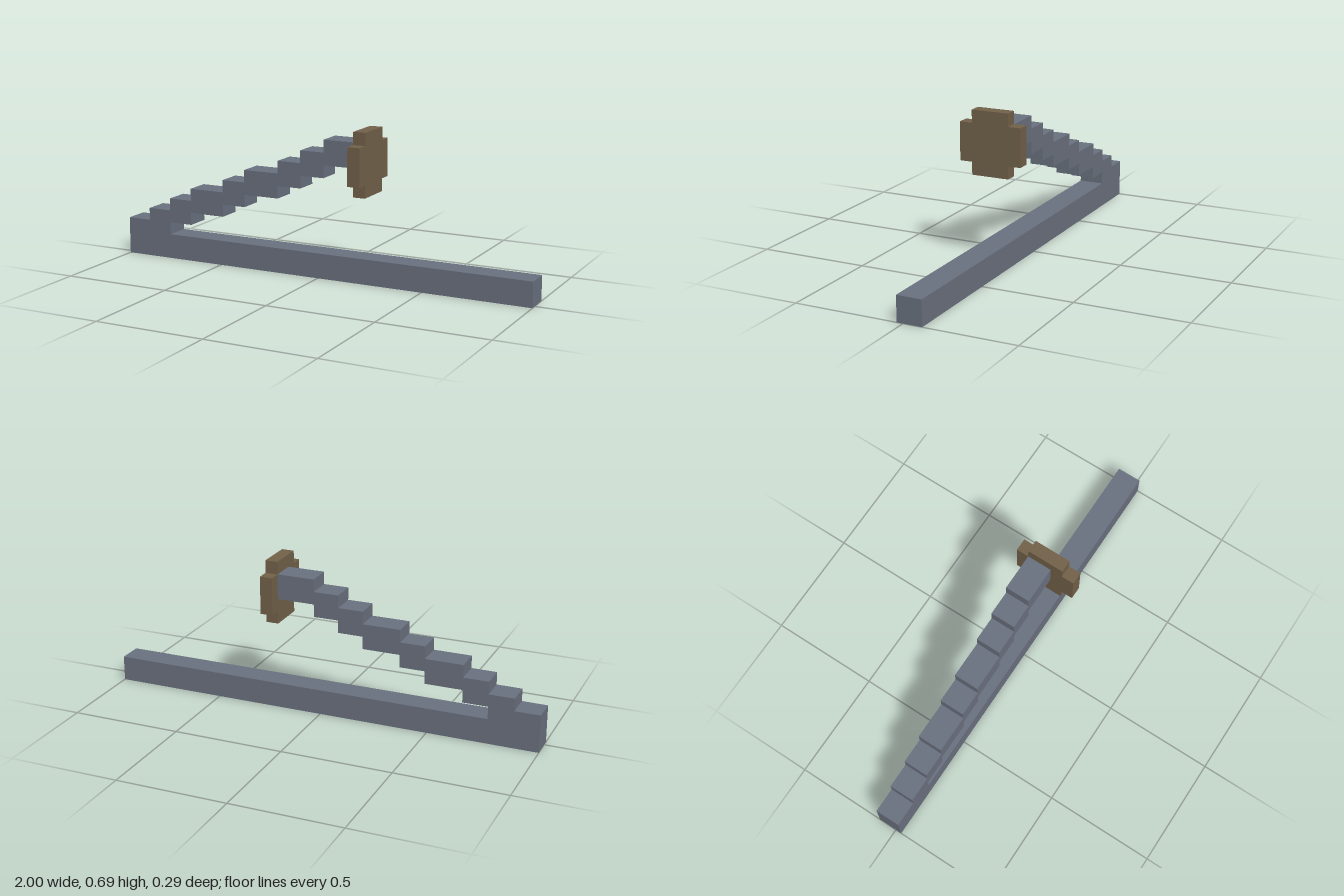
import * as THREE from 'three';

const U = 2 / 35; // grid unit: the base is 35 units long

// Extrude an outline given in grid units, starting at depth 0
function extrude(points, depth) {
  const shape = new THREE.Shape(points.map(([x, y]) => new THREE.Vector2(x * U, y * U)));
  return new THREE.ExtrudeGeometry(shape, { depth: depth * U, bevelEnabled: false });
}

export function createModel() {
  const model = new THREE.Group();
  const grey = new THREE.MeshStandardMaterial({ color: 0x6b7280 });
  grey.name = 'slate grey';
  const brown = new THREE.MeshStandardMaterial({ color: 0x73624a });
  brown.name = 'wood brown';

  // Long base bar with a stepped arm rising from its right end
  const edges = [0, 2, 4, 6, 9, 11, 14, 16, 18, 21]; // x where each step begins
  const upper = [];
  const lower = [];
  for (let i = 0; i < edges.length - 1; i++) {
    upper.push([edges[i], i + 3], [edges[i + 1], i + 3]);
    if (i >= 2) lower.push([edges[i], i + 1], [edges[i + 1], i + 1]);
  }
  const outline = [[0, 0], [35, 0], [35, 2], [4, 2], ...lower, ...upper.reverse()];
  const frame = new THREE.Mesh(extrude(outline, 2), grey);
  frame.name = 'baseAndSteppedArm';
  frame.position.set(-1, 0, -1.5 * U);
  model.add(frame);

  // Cross-shaped head plate on the end of the arm
  const cross = [
    [-1.5, 7], [1.5, 7], [1.5, 8], [2.5, 8], [2.5, 11], [1.5, 11],
    [1.5, 12], [-1.5, 12], [-1.5, 11], [-2.5, 11], [-2.5, 8], [-1.5, 8],
  ];
  const head = new THREE.Mesh(extrude(cross, 1), brown);
  head.name = 'headPlate';
  head.rotation.y = Math.PI / 2;
  head.position.x = -1 + 21 * U;
  model.add(head);

  return model;
}
